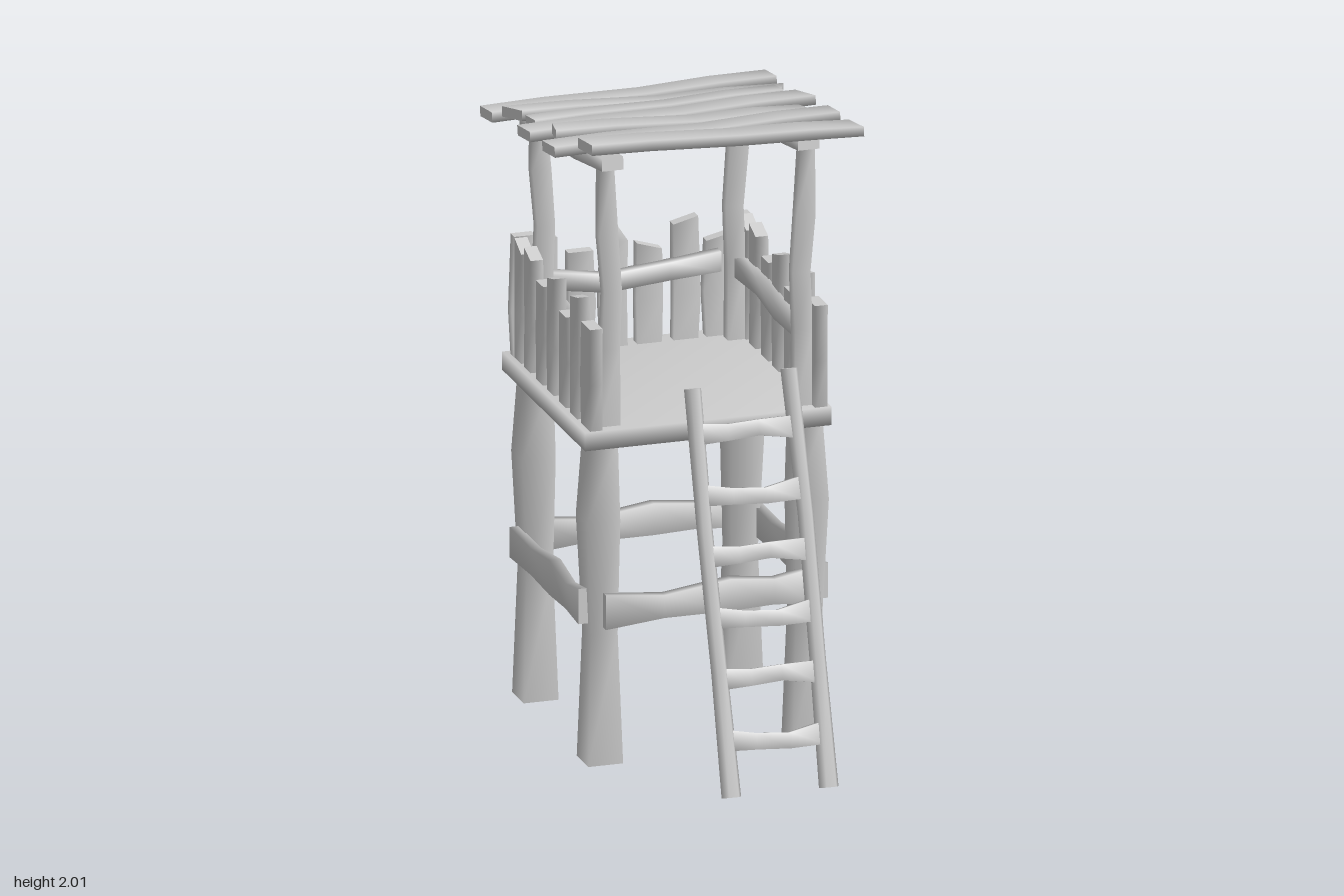
import * as THREE from 'three';
import { mergeVertices } from 'three/addons/utils/BufferGeometryUtils.js';

const material = new THREE.MeshStandardMaterial({ color: 0xcccccc });

// Rough-hewn timber running along one axis, lofted through cross-sections.
// Section: [along, u, v, halfU, halfV, skewU, skewV]; (u, v) are the next two
// axes in cyclic order (x: y,z  y: z,x  z: x,y); skews slant the cut.
function timber(parent, name, axis, sections, sides = 4) {
  const k = 'xyz'.indexOf(axis), pos = [], idx = [];
  const grow = sides === 4 ? Math.SQRT2 : 1;
  const ring = ([a, u, v, hu, hv, su = 0, sv = 0]) => {
    for (let j = 0; j < sides; j++) {
      const t = (j + 0.5) / sides * Math.PI * 2;
      const cu = Math.cos(t) * grow, cv = Math.sin(t) * grow, p = [0, 0, 0];
      p[k] = a + cu * su + cv * sv;
      p[(k + 1) % 3] = u + cu * hu;
      p[(k + 2) % 3] = v + cv * hv;
      pos.push(...p);
    }
  };
  sections.forEach(ring);
  const n = sections.length;
  for (let i = 0; i < n - 1; i++) for (let j = 0; j < sides; j++) {
    const a = i * sides + j, b = i * sides + (j + 1) % sides;
    idx.push(a, b, b + sides, a, b + sides, a + sides);
  }
  // End caps with their own vertices, so the cuts stay crisp
  ring(sections[0]);
  ring(sections[n - 1]);
  const s = n * sides, e = s + sides;
  for (let j = 1; j < sides - 1; j++) idx.push(s, s + j + 1, s + j, e, e + j, e + j + 1);
  const g = new THREE.BufferGeometry();
  g.setAttribute('position', new THREE.Float32BufferAttribute(pos, 3));
  g.setIndex(idx);
  g.computeVertexNormals();
  const mesh = new THREE.Mesh(g, material);
  mesh.name = name;
  parent.add(mesh);
  return mesh;
}

function group(parent, name) {
  const g = new THREE.Group();
  g.name = name;
  parent.add(g);
  return g;
}

export function createModel() {
  const model = new THREE.Group();
  model.name = 'watchtower';
  const FRONT = 0.13, BACK = -0.49;

  // Four thick legs, flared at the foot and swollen near the top
  const legs = group(model, 'legs');
  for (const x of [-0.33, 0.318]) for (const z of [FRONT, BACK]) {
    const out = Math.sign(x) * 0.006;
    timber(legs, 'leg', 'y', [
      [0.01, z, x, 0.056, 0.055], [0.42, z, x, 0.043, 0.042],
      [0.78, z, x + out, 0.053, 0.053], [1.03, z, x, 0.042, 0.043]]);
  }

  // Braces nailed to the outside of the legs
  const braces = group(model, 'braces');
  for (const z of [0.188, -0.55]) timber(braces, 'crossBrace', 'x', [
    [-0.335, 0.5, z, 0.055, 0.015], [-0.15, 0.5, z, 0.036, 0.016],
    [0.06, 0.515, z, 0.05, 0.018], [0.2, 0.51, z, 0.04, 0.016], [0.32, 0.515, z, 0.056, 0.015]]);
  for (const x of [-0.39, 0.37]) timber(braces, 'sideBrace', 'z', [
    [-0.51, x, 0.5, 0.015, 0.048], [-0.3, x, 0.505, 0.016, 0.042],
    [-0.12, x, 0.515, 0.018, 0.055], [0.03, x, 0.505, 0.016, 0.04], [0.15, x, 0.51, 0.015, 0.056]]);

  // Platform with softened shading
  let slab = new THREE.BoxGeometry(0.78, 0.058, 0.795);
  slab.deleteAttribute('normal');
  slab.deleteAttribute('uv');
  slab = mergeVertices(slab);
  slab.computeVertexNormals();
  const platform = new THREE.Mesh(slab, material);
  platform.name = 'platform';
  platform.position.set(-0.01, 1.048, -0.198);
  model.add(platform);

  // Crooked posts carrying the roof
  const posts = group(model, 'roofPosts');
  for (const s of [-1, 1]) for (const [z, top] of [[0.142, 1.91], [-0.5, 1.82]]) {
    const x = s * 0.31;
    timber(posts, 'roofPost', 'y', [
      [1.06, z, x, 0.022, 0.034], [1.32, z, x - s * 0.005, 0.021, 0.028],
      [1.5, z, x - s * 0.012, 0.019, 0.028], [1.68, z, x + s * 0.002, 0.02, 0.03],
      [top, z, x + s * 0.008, 0.02, 0.022]]);
  }

  // Fence pickets: [centre, half width, top, tip], tip: slant amount or 'point'
  const fence = group(model, 'fence');
  const sideRow = [[0.15, 0.047, 1.4, 0], [0.037, 0.037, 1.455, 0.008], [-0.072, 0.037, 1.365, 0],
    [-0.187, 0.034, 1.44, 0.008], [-0.292, 0.037, 1.39, 0], [-0.41, 0.034, 1.445, -0.012],
    [-0.5, 0.034, 1.44, -0.016]];
  const backRow = [[-0.35, 0.035, 1.46, 0], [-0.278, 0.034, 1.455, -0.01], [-0.172, 0.042, 1.39, 0],
    [-0.062, 0.042, 1.46, 'point'], [0.046, 0.042, 1.385, -0.012], [0.16, 0.042, 1.455, 0.01],
    [0.26, 0.036, 1.39, 0.008], [0.335, 0.034, 1.455, 0]];
  const picket = (row, at) => row.forEach(([c, h, top, tip], i) => {
    const point = tip === 'point', slant = point ? 0 : tip, bend = (i % 3 - 1) * 0.006;
    const list = [[1.06, c, h * 0.92], [1.22, c + bend, h], [point ? top - 0.05 : top, c, h * 0.93]];
    if (point) list.push([top, c, h * 0.15]);
    const last = list.length - 1;
    timber(fence, 'picket', 'y', list.map(([y, p, w], n) => {
      const skew = n === last ? slant : 0;
      return at.x !== undefined ? [y, p, at.x, w, 0.02, skew, 0] : [y, at.z, p, 0.018, w, 0, skew];
    }));
  });
  picket(sideRow, { x: 0.35 });
  picket(sideRow, { x: -0.362 });
  picket(backRow, { z: -0.55 });

  // Handrails on the inside of the pickets
  timber(fence, 'backRail', 'x', [
    [-0.285, 1.32, -0.515, 0.028, 0.02], [-0.1, 1.292, -0.515, 0.028, 0.02],
    [0.1, 1.31, -0.515, 0.028, 0.02], [0.26, 1.325, -0.515, 0.032, 0.02]]);
  for (const x of [-0.325, 0.315]) timber(fence, 'sideRail', 'z', [
    [-0.5, x, 1.305, 0.019, 0.03], [-0.27, x, 1.315, 0.019, 0.026],
    [-0.1, x, 1.295, 0.019, 0.028], [0.14, x, 1.305, 0.019, 0.03]]);

  // Sloping roof: two beams under seven uneven planks
  const roof = group(model, 'roof');
  roof.position.set(0, 1.913, -0.18);
  roof.rotation.x = -0.14;
  for (const x of [-0.315, 0.305]) timber(roof, 'roofBeam', 'z', [
    [-0.41, x, -0.042, 0.036, 0.024], [-0.36, x, -0.046, 0.038, 0.027], [-0.1, x, -0.04, 0.034, 0.025],
    [0.12, x, -0.042, 0.038, 0.026], [0.385, x, -0.042, 0.034, 0.02]]);
  // [left, right, z, half depth, mid shift in z, left skew, right skew, tilt, lift]
  const planks = [
    [-0.463, 0.44, -0.565, 0.058, 0.005, 0, 0, 0.012, 0],
    [-0.42, 0.435, -0.442, 0.048, 0.012, 0.016, -0.018, -0.012, 0],
    [-0.395, 0.392, -0.341, 0.046, 0.002, 0, 0, 0.01, 0.003],
    [-0.455, 0.438, -0.224, 0.061, 0.006, 0, 0.013, 0.012, 0],
    [-0.402, 0.398, -0.089, 0.06, 0.012, -0.013, 0.008, -0.015, 0.002],
    [-0.465, 0.44, 0.047, 0.061, 0.008, 0, 0, 0.01, 0],
    [-0.396, 0.462, 0.193, 0.068, -0.012, 0, 0.003, -0.02, 0.003]];
  planks.forEach(([l, r, wz, d, mid, sl, sr, tilt, lift]) => {
    const z = wz + 0.18, len = r - l, h = 0.016;
    const plank = timber(roof, 'roofPlank', 'x', [
      [l, 0, z, h, d, 0, sl], [l + len * 0.22, 0.002, z + mid * 0.2, h, d * 1.02],
      [l + len * 0.55, -0.004, z + mid, h, d * 0.95], [r - len * 0.2, 0.001, z + mid * 0.2, h, d],
      [r, 0, z, h * 0.9, d * 0.96, 0, sr]]);
    plank.position.y = lift;
    plank.rotation.z = tilt * 1.8;
  });

  // Leaning ladder with six bent rungs
  const ladder = group(model, 'ladder');
  ladder.position.set(0, 0.01, 0.588);
  ladder.rotation.x = -0.307;
  for (const [x, length, bow] of [[-0.065, 1.235, -0.003], [0.243, 1.265, 0.01]]) {
    timber(ladder, 'ladderRail', 'y', [
      [0, 0, x, 0.033, 0.031], [length * 0.3, 0.002, x + bow * 0.3, 0.028, 0.026],
      [length * 0.65, -0.003, x + bow, 0.027, 0.025], [length, 0, x, 0.029, 0.027]], 6);
  }
  for (let i = 0; i < 6; i++) {
    const y = 0.165 + i * 0.185, b = i % 2 ? 0.008 : -0.012;
    timber(ladder, 'ladderRung', 'x', [
      [-0.06, y + 0.006, 0, 0.032, 0.016], [0.03, y + b * 0.4, b * 0.5, 0.025, 0.014],
      [0.13, y + b, -b, 0.024, 0.014], [0.24, y, 0, 0.034, 0.016]]);
  }
  return model;
}
